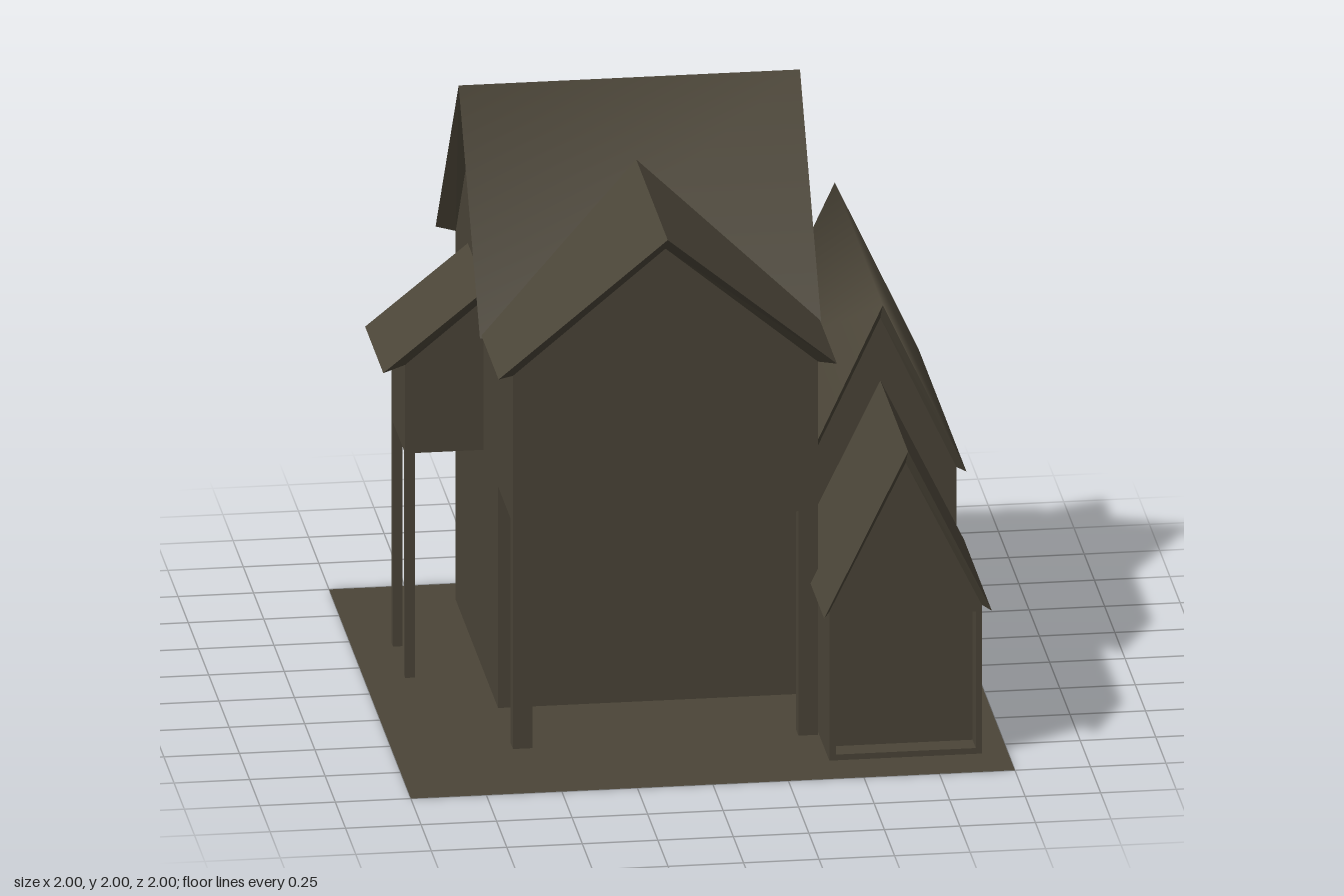
import * as THREE from 'three';
import { mergeVertices } from 'three/addons/utils/BufferGeometryUtils.js';

const clay = new THREE.MeshStandardMaterial({ color: 0x4b4538, side: THREE.DoubleSide });
clay.name = 'dark clay';

function part(name, geometry, parent) {
  const mesh = new THREE.Mesh(geometry, clay);
  mesh.name = name;
  parent.add(mesh);
  return mesh;
}

// Flat or smooth surface from a list of three- or four-cornered faces
function surface(faces, smooth) {
  const pts = [];
  for (const f of faces) {
    for (let i = 1; i < f.length - 1; i++) pts.push(...f[0], ...f[i], ...f[i + 1]);
  }
  let g = new THREE.BufferGeometry();
  g.setAttribute('position', new THREE.Float32BufferAttribute(pts, 3));
  if (smooth) g = mergeVertices(g);
  g.computeVertexNormals();
  return g;
}

function shapeOf(points) {
  return new THREE.Shape(points.map(([x, y]) => new THREE.Vector2(x, y)));
}

function slab(shape, z0, z1) {
  return new THREE.ExtrudeGeometry(shape, { depth: z1 - z0, bevelEnabled: false }).translate(0, 0, z0);
}

function box(name, parent, x0, x1, y0, y1, z0, z1) {
  const g = new THREE.BoxGeometry(x1 - x0, y1 - y0, z1 - z0);
  part(name, g.translate((x0 + x1) / 2, (y0 + y1) / 2, (z0 + z1) / 2), parent);
}

// Walls under a roof running along z. "outer" is the roof line, "inner" the
// wall top; bevelled soffits join the overhanging edge to the walls.
function roofedBlock(name, parent, { outer, inner, roof, wall, base, smooth }) {
  const group = new THREE.Group();
  group.name = name;
  parent.add(group);
  const [r0, r1] = roof, [w0, w1] = wall;
  const at = (p, z) => [p[0], p[1], z];
  const sheet = [], soffit = [];
  for (let i = 0; i < outer.length - 1; i++) {
    const a = outer[i], b = outer[i + 1], c = inner[i], d = inner[i + 1];
    sheet.push([at(a, r0), at(a, r1), at(b, r1), at(b, r0)]);
    soffit.push([at(c, w1), at(d, w1), at(b, r1), at(a, r1)]);
    soffit.push([at(d, w0), at(c, w0), at(a, r0), at(b, r0)]);
  }
  const n = outer.length - 1;
  soffit.push([at(outer[0], r0), at(inner[0], w0), at(inner[0], w1), at(outer[0], r1)]);
  soffit.push([at(inner[n], w0), at(outer[n], r0), at(outer[n], r1), at(inner[n], w1)]);
  part(name + 'Roof', surface(sheet, smooth), group);
  part(name + 'Soffit', surface(soffit), group);

  const outline = [[inner[0][0], base], [inner[n][0], base], ...[...inner].reverse()];
  part(name + 'Walls', slab(shapeOf(outline), w0, w1), group);
  return { group, outline };
}

export function createModel() {
  const model = new THREE.Group();
  model.name = 'house';

  // Ground plate
  part('ground', new THREE.PlaneGeometry(2, 2).rotateX(-Math.PI / 2), model);

  // Main house, ridge turned to run along x
  const main = roofedBlock('mainHouse', model, {
    outer: [[-0.215, 1.305], [0.305, 2], [0.87, 1.3]],
    inner: [[-0.215, 1.28], [0.305, 1.945], [0.82, 1.3]],
    roof: [-0.665, 0.465], wall: [-0.605, 0.405], base: 0.01, smooth: true,
  });
  main.group.rotation.y = Math.PI / 2;

  // Upper front room with its gable, over the entrance
  roofedBlock('frontGable', model, {
    outer: [[-0.66, 1.315], [-0.1, 1.775], [0.46, 1.315]],
    inner: [[-0.605, 1.305], [-0.1, 1.725], [0.405, 1.305]],
    roof: [0.215, 0.635], wall: [0.215, 0.58], base: 0.785,
  });

  // Valley faces joining the gable to the main roof
  const back = [-0.1, 1.775, -0.14], ridge = [-0.1, 1.775, 0.215];
  part('roofValley', surface([
    [back, ridge, [0.46, 1.315, 0.215]],
    [ridge, back, [-0.66, 1.315, 0.215]],
  ]), model);

  // Posts under the front room
  for (const x of [-0.605, 0.34]) box('frontPost', model, x, x + 0.065, 0, 0.785, 0.525, 0.58);

  // Side porch under a lean-to roof, with two posts
  roofedBlock('sidePorch', model, {
    outer: [[-0.945, 1.09], [-0.605, 1.365]],
    inner: [[-0.865, 1.095], [-0.605, 1.31]],
    roof: [-0.525, -0.08], wall: [-0.465, -0.135], base: 0.785,
  });
  for (const z of [-0.465, -0.165]) box('porchPost', model, -0.865, -0.833, 0, 0.785, z, z + 0.03);

  // Tall rear part of the garage wing
  roofedBlock('rearWing', model, {
    outer: [[0.38, 0.79], [0.658, 1.385], [0.935, 0.79]],
    inner: [[0.405, 0.785], [0.658, 1.32], [0.91, 0.785]],
    roof: [-0.88, 0.295], wall: [-0.82, 0.235], base: 0.01, smooth: true,
  });

  // Low front part of the garage wing, its front pierced for a recessed door
  const garage = roofedBlock('garage', model, {
    outer: [[0.38, 0.53], [0.658, 1.1], [0.935, 0.53]],
    inner: [[0.405, 0.53], [0.658, 1.04], [0.91, 0.53]],
    roof: [0.235, 0.915], wall: [0.235, 0.855], base: 0.01,
  });
  const walls = garage.group.getObjectByName('garageWalls');
  walls.geometry = slab(shapeOf(garage.outline), 0.235, 0.775);
  const front = shapeOf(garage.outline);
  front.holes.push(shapeOf([[0.427, 0.03], [0.427, 0.508], [0.89, 0.508], [0.89, 0.03]]));
  part('garageDoorFrame', slab(front, 0.775, 0.855), garage.group);

  return model;
}
